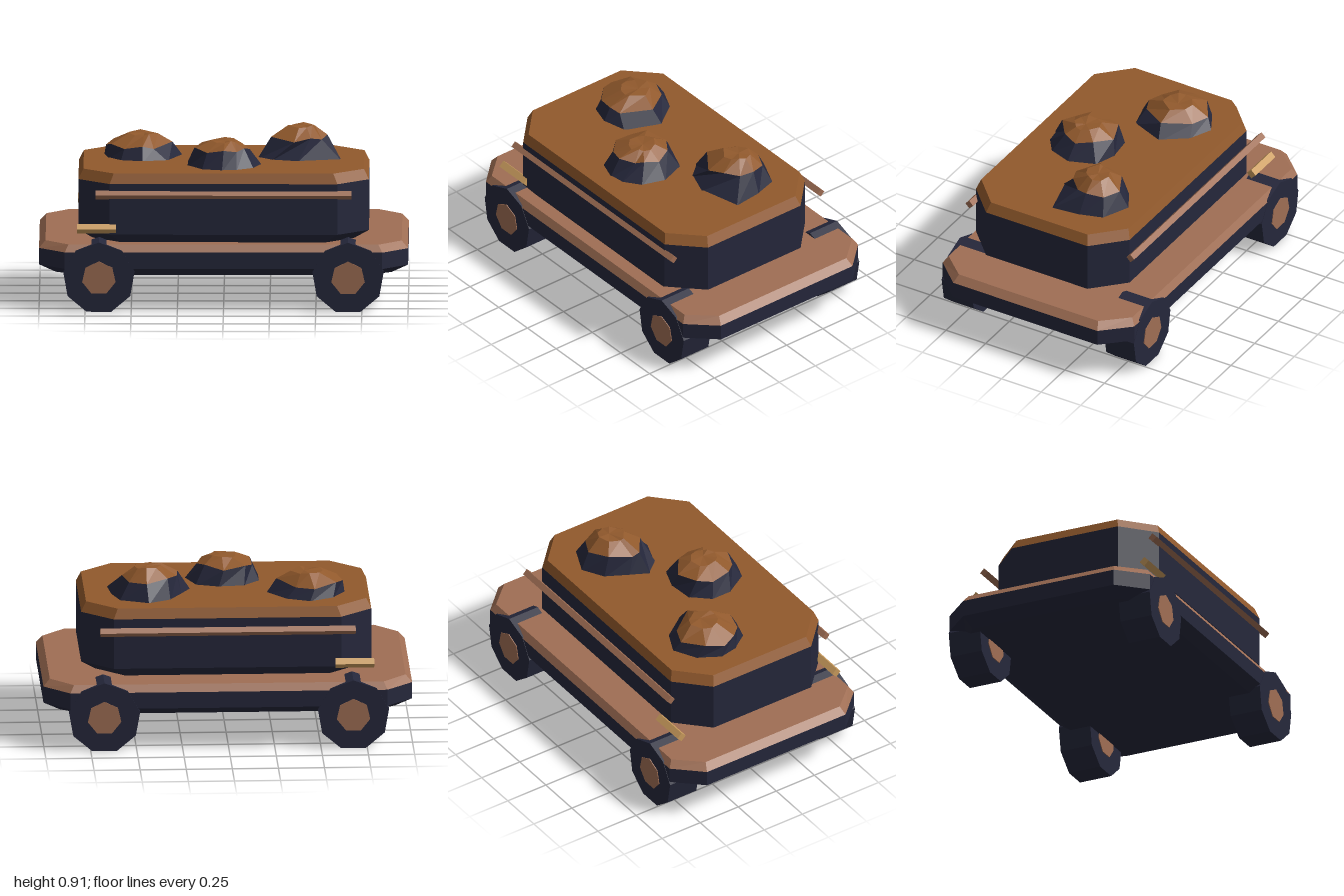
import * as THREE from 'three';

const dark = new THREE.MeshStandardMaterial({ name: 'dark navy', color: 0x25273b });
const copper = new THREE.MeshStandardMaterial({ name: 'dusty copper', color: 0x9f6e54 });
const rust = new THREE.MeshStandardMaterial({ name: 'rust brown', color: 0x91592c });
const gold = new THREE.MeshStandardMaterial({ name: 'pale gold', color: 0xcb9d5e });
for (const m of [dark, copper, rust, gold]) m.flatShading = true;

function add(parent, name, geometry, material, x = 0, y = 0, z = 0) {
  const mesh = new THREE.Mesh(geometry, material);
  mesh.name = name;
  mesh.position.set(x, y, z);
  parent.add(mesh);
  return mesh;
}

// Skins a stack of rings (counter-clockwise seen from above), with optional end faces
function loft(rings, top = null, bottom = null) {
  const out = [];
  const n = rings[0].length;
  const tri = (a, b, c) => out.push(...a, ...b, ...c);
  for (let k = 0; k < rings.length - 1; k++) {
    for (let i = 0; i < n; i++) {
      const j = (i + 1) % n, a = rings[k], b = rings[k + 1];
      tri(a[i], a[j], b[j]);
      tri(a[i], b[j], b[i]);
    }
  }
  const first = rings[0], last = rings[rings.length - 1];
  for (let i = 0; i < n; i++) {
    const j = (i + 1) % n;
    if (top) tri(top, last[i], last[j]);
    if (bottom) tri(bottom, first[j], first[i]);
  }
  const g = new THREE.BufferGeometry();
  g.setAttribute('position', new THREE.Float32BufferAttribute(out, 3));
  g.computeVertexNormals();
  return g;
}

// Rectangle with cut corners: half sizes w, d and cut lengths cx, cz
function octagon(y, w, d, cx, cz) {
  return [[w, d - cz], [w, cz - d], [w - cx, -d], [cx - w, -d],
    [-w, cz - d], [-w, d - cz], [cx - w, d], [w - cx, d]].map(([x, z]) => [x, y, z]);
}

// Faceted rock: dark skirt and rust crown
function addMound(parent, name, { base, rim, peak, rimY, topY }) {
  const group = new THREE.Group();
  group.name = name;
  const low = base.map(([x, z]) => [x, 0.735, z]);
  const mid = rim.map(([x, z], i) => [x, rimY + (i % 2 ? 0.008 : -0.008), z]);
  const high = rim.map(([x, z], i) => [
    peak[0] + (x - peak[0]) * 0.48, topY - (i % 3 ? 0.008 : 0), peak[1] + (z - peak[1]) * 0.48]);
  add(group, 'moundSkirt', loft([low, mid]), dark);
  add(group, 'moundCrown', loft([mid, high], [peak[0], topY - 0.004, peak[1]]), rust);
  parent.add(group);
}

const mounds = {
  rightMound: {
    base: [[-.45, -.31], [-.58, -.24], [-.65, -.12], [-.63, -.01], [-.56, .09], [-.44, .125], [-.30, .09], [-.22, -.11], [-.32, -.25]],
    rim: [[-.48, -.27], [-.60, -.19], [-.64, -.09], [-.61, -.01], [-.54, .06], [-.44, .08], [-.38, .06], [-.28, -.09], [-.38, -.23]],
    peak: [-.43, -.11], rimY: 0.81, topY: 0.87,
  },
  middleMound: {
    base: [[.03, .015], [-.11, .03], [-.20, .13], [-.20, .25], [-.12, .385], [-.01, .42], [.07, .41], [.165, .34], [.21, .21], [.155, .06]],
    rim: [[0, .04], [-.12, .08], [-.16, .16], [-.15, .27], [-.09, .335], [0, .365], [.07, .31], [.11, .28], [.14, .20], [.10, .11]],
    peak: [.01, .21], rimY: 0.835, topY: 0.88,
  },
  leftMound: {
    base: [[.42, -.31], [.30, -.24], [.235, -.12], [.18, -.015], [.25, .07], [.395, .123], [.64, .06], [.62, -.11], [.58, -.24]],
    rim: [[.43, -.255], [.315, -.20], [.26, -.08], [.255, -.04], [.38, .05], [.47, .015], [.53, -.05], [.56, -.12], [.525, -.21]],
    peak: [.43, -.12], rimY: 0.845, topY: 0.91,
  },
};

export function createModel() {
  const model = new THREE.Group();
  model.name = 'cart';

  // Chassis slab with bevelled deck
  const deckEdge = octagon(0.325, 1, 0.605, 0.14, 0.15);
  add(model, 'chassis', loft([
    octagon(0.192, 0.91, 0.54, 0.13, 0.1),
    octagon(0.235, 1, 0.605, 0.14, 0.15), deckEdge], null, [0, 0.192, 0]), dark);
  add(model, 'deck', loft([deckEdge, octagon(0.365, 0.965, 0.58, 0.125, 0.14)], [0, 0.365, 0]), copper);

  // Upper body, set slightly forward, with its lid
  const lidEdge = octagon(0.69, 0.787, 0.485, 0.17, 0.165);
  add(model, 'body', loft([
    octagon(0.36, 0.70, 0.445, 0.15, 0.15),
    octagon(0.412, 0.787, 0.485, 0.17, 0.165), lidEdge], null, [0, 0.36, 0]), dark, 0, 0, 0.055);
  add(model, 'lid', loft([lidEdge, octagon(0.745, 0.76, 0.465, 0.165, 0.16)], [0, 0.745, 0]), rust, 0, 0, 0.055);

  // Rocks on the lid
  for (const [name, spec] of Object.entries(mounds)) addMound(model, name, spec);

  // Wheels with hubs showing on both faces
  const tyre = new THREE.CylinderGeometry(0.196, 0.196, 0.188, 9).rotateX(-Math.PI / 2);
  const hub = new THREE.CylinderGeometry(0.093, 0.093, 0.196, 7).rotateX(-Math.PI / 2);
  for (const x of [-0.675, 0.675]) {
    for (const z of [-0.513, 0.513]) {
      const wheel = new THREE.Group();
      wheel.name = (z > 0 ? 'front' : 'back') + (x > 0 ? 'Left' : 'Right') + 'Wheel';
      wheel.position.set(x, 0.184, z);
      add(wheel, 'tyre', tyre, dark);
      add(wheel, 'hub', hub, copper);
      model.add(wheel);
    }
  }

  // Diamond-section side rails and short gold bars
  const rail = new THREE.CylinderGeometry(0.024, 0.024, 1.385, 4).rotateZ(Math.PI / 2);
  const bar = new THREE.CylinderGeometry(0.027, 0.027, 0.21, 4).rotateZ(Math.PI / 2);
  for (const z of [0.537, -0.48]) {
    const side = z > 0 ? 'front' : 'back';
    add(model, side + 'Rail', rail, copper, 0, 0.63, z);
    add(model, side + 'Bar', bar, gold, -0.688, 0.444, z);
  }
  return model;
}
